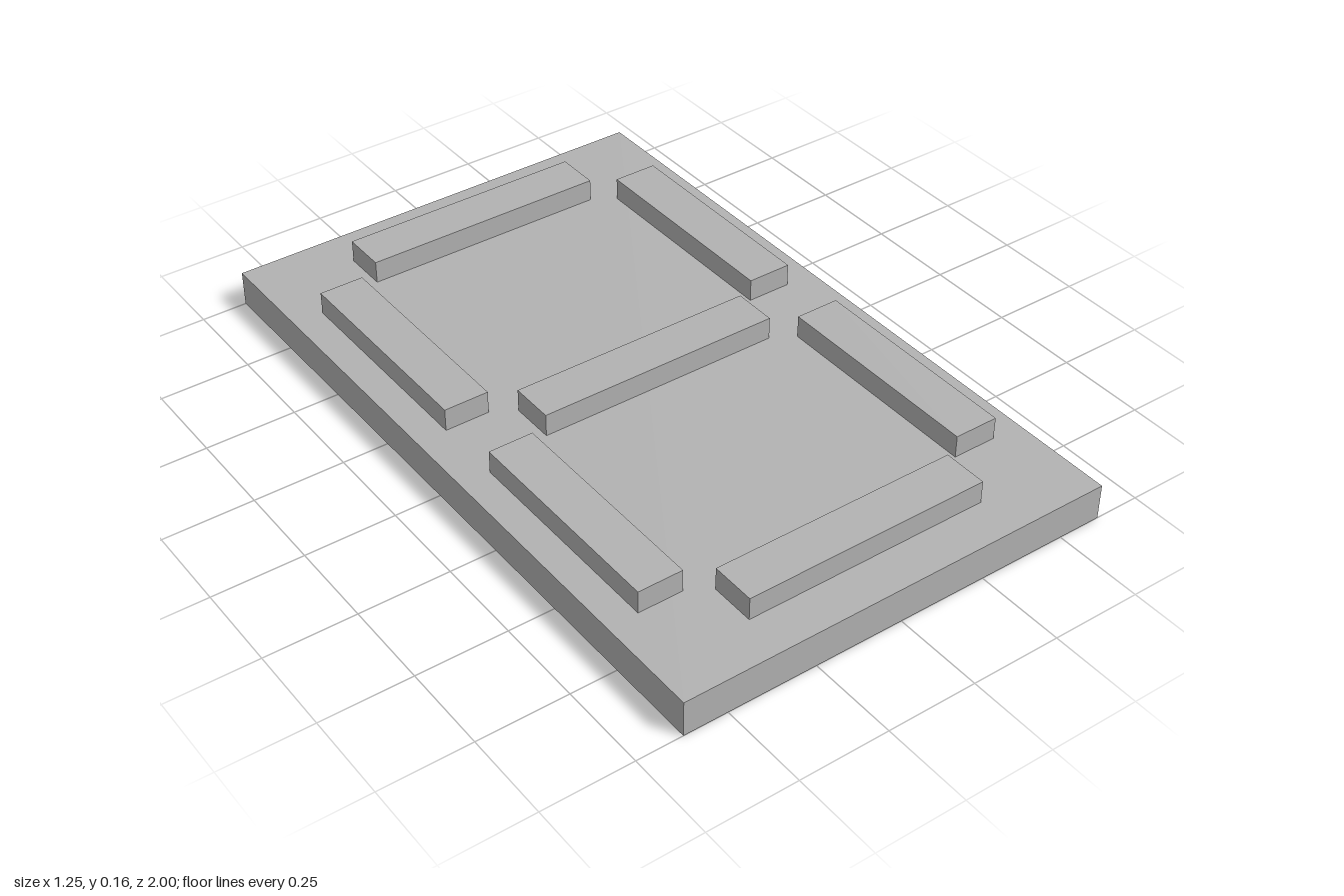
import * as THREE from 'three';

export function createModel() {
  const group = new THREE.Group();
  const grey = new THREE.MeshStandardMaterial({ color: 0xb2b2b2 });
  grey.name = 'grey';

  const baseHeight = 0.1;
  const barHeight = 0.063;
  const barWidth = 0.125;

  function addBox(name, w, h, d, x, bottom, z) {
    const mesh = new THREE.Mesh(new THREE.BoxGeometry(w, h, d), grey);
    mesh.name = name;
    mesh.position.set(x, bottom + h / 2, z);
    group.add(mesh);
  }

  // Base slab
  addBox('basePlate', 1.245, baseHeight, 2, 0, 0, 0);

  // Three crosswise bars: back, middle, front
  const rows = { back: -0.813, middle: 0, front: 0.813 };
  for (const [row, z] of Object.entries(rows)) {
    addBox(`${row}Bar`, 0.695, barHeight, barWidth, -0.001, baseHeight, z);
  }

  // Four lengthwise bars, mirrored left/right and front/back
  for (const sx of [-1, 1]) {
    for (const sz of [-1, 1]) {
      const name = `${sz > 0 ? 'front' : 'back'}${sx > 0 ? 'Left' : 'Right'}Bar`;
      addBox(name, barWidth, barHeight, 0.613, sx * 0.474 - 0.001, baseHeight, sz * 0.406);
    }
  }
  return group;
}
